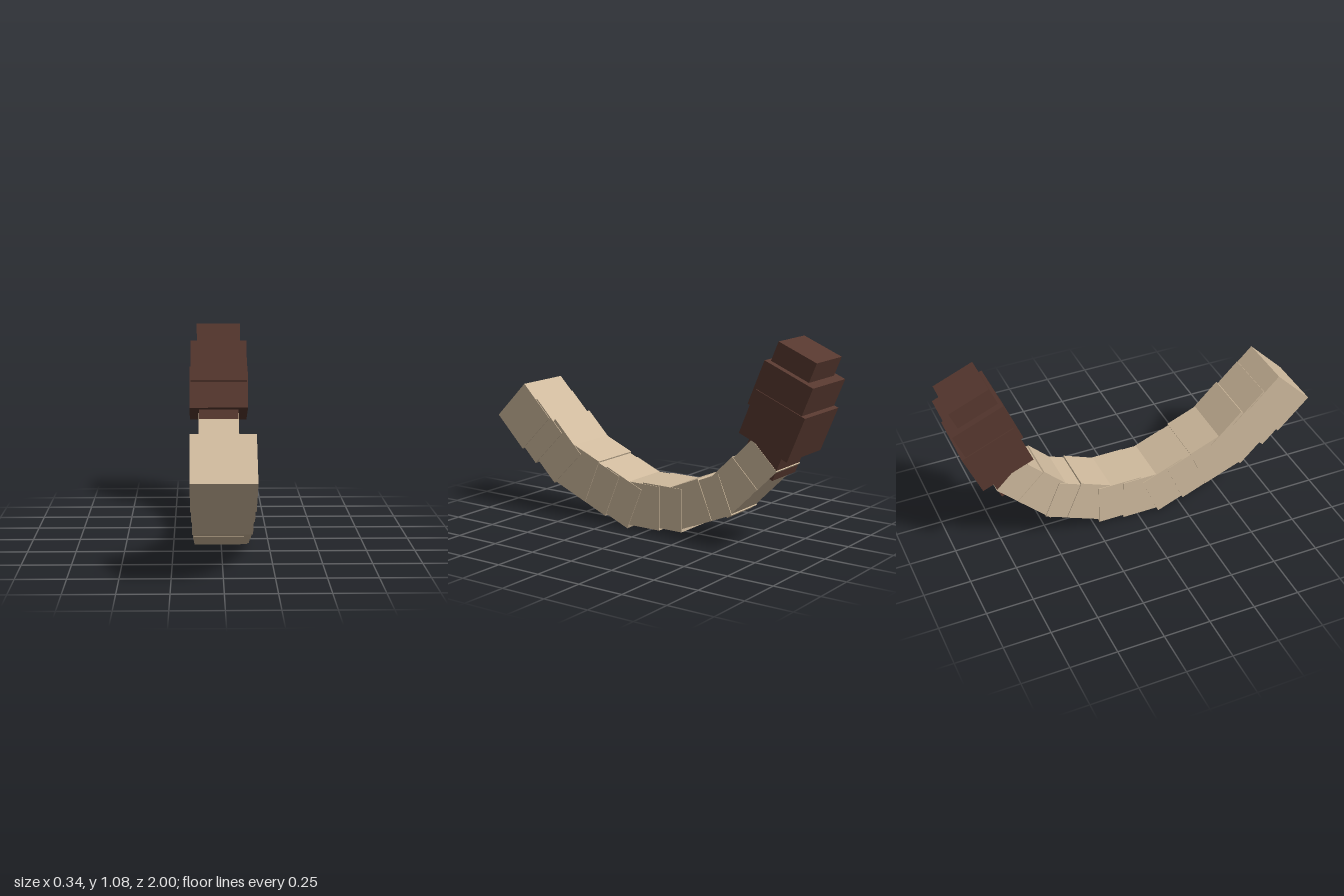
import * as THREE from 'three';

export function createModel() {
  const model = new THREE.Group();
  model.name = 'curledTail';
  const tan = new THREE.MeshStandardMaterial({ color: 0xcfba9d });
  tan.name = 'tan fur';
  const brown = new THREE.MeshStandardMaterial({ color: 0x57382f });
  brown.name = 'dark brown tuft';

  // Box tilted about x and placed by its rear lower edge (z, y)
  function block(name, material, [z, y], degrees, width, height, length) {
    const mesh = new THREE.Mesh(new THREE.BoxGeometry(width, height, length), material);
    mesh.name = name;
    mesh.rotation.x = THREE.MathUtils.degToRad(degrees);
    mesh.position.set(0, height / 2, length / 2).applyEuler(mesh.rotation);
    mesh.position.add(new THREE.Vector3(-0.0015, y, z));
    model.add(mesh);
  }

  // Tapering tail segments: rear lower edge (z, y) and tilt, from root to tip
  const segments = [
    [0.825, 0.345, -45], [0.735, 0.275, -45], [0.605, 0.18, -45],
    [0.395, 0.105, -22.5], [0.26, 0.047, -22.5], [0.115, 0.001, -22.5],
    [-0.09, 0.022, 0], [-0.23, 0.035, 0],
    [-0.412, 0.128, 22.5], [-0.53, 0.175, 22.5],
    [-0.675, 0.328, 45], [-0.783, 0.435, 45],
  ];
  segments.forEach(([z, y, tilt], i) => {
    const width = 0.313 - 0.0075 * i;
    block(`tailSegment${i + 1}`, tan, [z, y], tilt, width, width * 0.885, 0.245);
  });

  // Dark tuft of four stacked blocks
  block('tuftNeck', brown, [-0.849, 0.607], 67.5, 0.226, 0.2, 0.24);
  block('tuftLower', brown, [-0.962, 0.73], 67.5, 0.335, 0.296, 0.245);
  block('tuftMiddle', brown, [-0.998, 0.878], 67.5, 0.324, 0.289, 0.24);
  block('tuftTip', brown, [-0.995, 0.993], 67.5, 0.25, 0.227, 0.24);

  return model;
}
